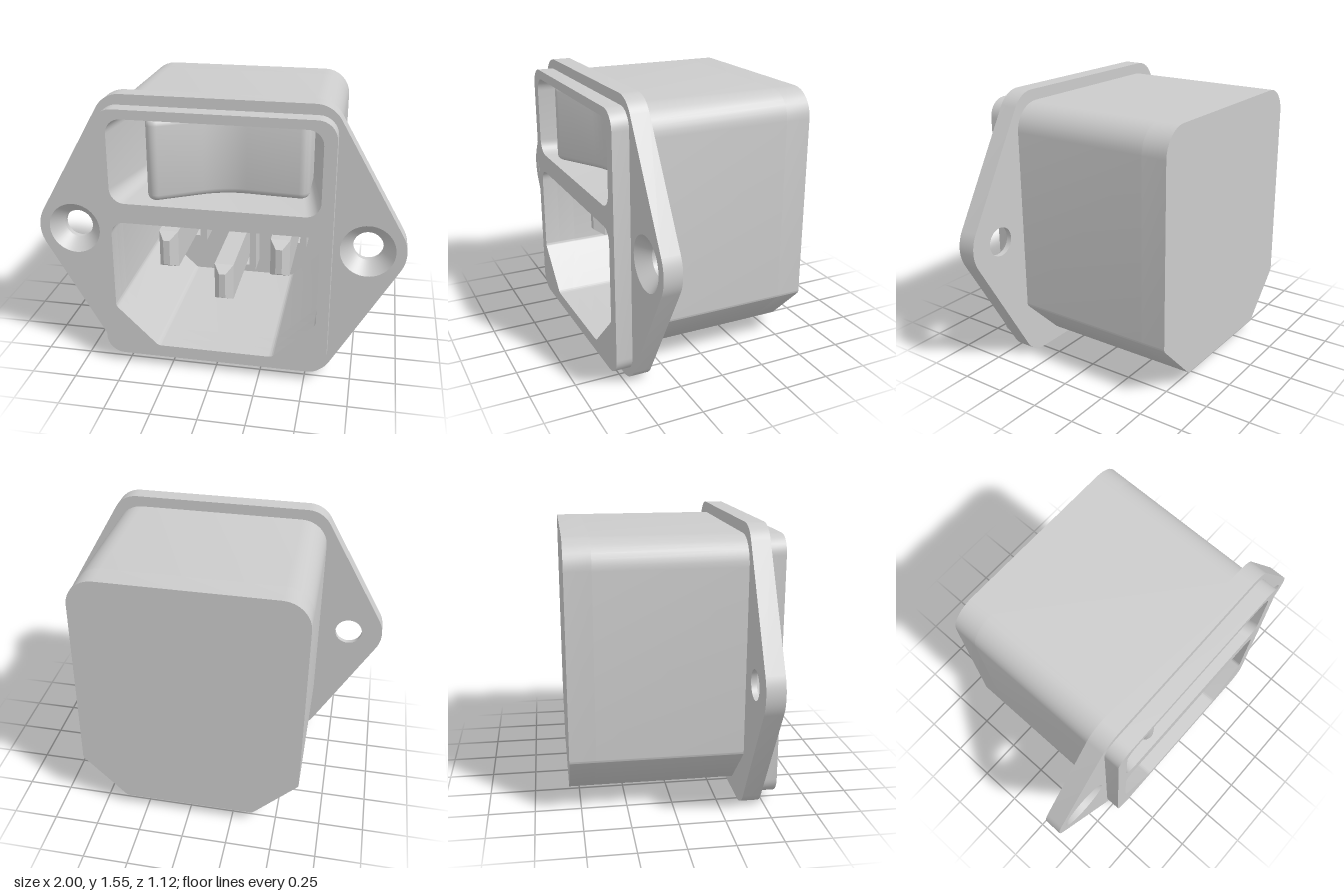
import * as THREE from 'three';
import { toCreasedNormals } from 'three/addons/utils/BufferGeometryUtils.js';

const material = new THREE.MeshStandardMaterial({ color: 0xcccccc });
const openMaterial = new THREE.MeshStandardMaterial({ color: 0xcccccc, side: THREE.DoubleSide });

// Polygon corners [x, y, radius] turned into an outline with true arc fillets
function roundPoly(corners, steps = 8) {
  const out = [];
  corners.forEach(([x, y, r], i) => {
    const p = new THREE.Vector2(x, y);
    if (!r) { out.push(p); return; }
    const n = corners.length;
    const before = corners[(i + n - 1) % n], after = corners[(i + 1) % n];
    const a = new THREE.Vector2(before[0] - x, before[1] - y).normalize();
    const b = new THREE.Vector2(after[0] - x, after[1] - y).normalize();
    const half = Math.acos(THREE.MathUtils.clamp(a.dot(b), -1, 1)) / 2;
    const center = p.clone().addScaledVector(a.clone().add(b).normalize(), r / Math.sin(half));
    const start = p.clone().addScaledVector(a, r / Math.tan(half)).sub(center);
    const end = p.clone().addScaledVector(b, r / Math.tan(half)).sub(center);
    const turn = Math.atan2(start.cross(end), start.dot(end));
    for (let k = 0; k <= steps; k++) {
      out.push(start.clone().rotateAround(new THREE.Vector2(), turn * k / steps).add(center));
    }
  });
  return out;
}

const rect = (hw, y0, y1, r) => roundPoly([[-hw, y0, r], [hw, y0, r], [hw, y1, r], [-hw, y1, r]]);

function addMesh(group, name, geometry, mat = material) {
  const mesh = new THREE.Mesh(geometry, mat);
  mesh.name = name;
  group.add(mesh);
  return mesh;
}

// Plate between two z values, with optional holes
function plate(outline, z0, z1, holes = []) {
  const shape = new THREE.Shape(outline);
  holes.forEach(h => shape.holes.push(new THREE.Path(h)));
  const g = new THREE.ExtrudeGeometry(shape, { depth: z1 - z0, bevelEnabled: false });
  g.translate(0, 0, z0);
  return toCreasedNormals(g, 0.5);
}

// Tapered wall joining two outlines with equal point counts
function loft(outerLine, z0, innerLine, z1) {
  const n = outerLine.length, pos = [], index = [];
  outerLine.forEach((p, i) => pos.push(p.x, p.y, z0, innerLine[i].x, innerLine[i].y, z1));
  for (let i = 0; i < n; i++) {
    const a = 2 * i, b = 2 * ((i + 1) % n);
    index.push(a, a + 1, b, b, a + 1, b + 1);
  }
  const g = new THREE.BufferGeometry();
  g.setAttribute('position', new THREE.Float32BufferAttribute(pos, 3));
  g.setIndex(index);
  return toCreasedNormals(g, 0.5);
}

// Contact blade: a box whose front end narrows to a blunt hipped tip
function bladeGeometry(zBack, zTip) {
  const box = new THREE.BoxGeometry(0.11, 0.22, 2, 1, 1, 2);
  const p = box.attributes.position;
  for (let i = 0; i < p.count; i++) {
    const z = p.getZ(i);
    if (z > 0.5) p.setXYZ(i, p.getX(i) * 0.33, p.getY(i) * 0.68, zTip);
    else p.setZ(i, z < -0.5 ? zBack : zTip - 0.06);
  }
  const g = box.toNonIndexed();
  g.computeVertexNormals();
  return g;
}

export function createModel() {
  const model = new THREE.Group();
  model.name = 'powerInlet';

  const switchWindow = rect(0.555, 0.98, 1.44, 0.08);
  const socketWindow = roundPoly([
    [-0.32, 0.13, 0.04], [0.32, 0.13, 0.04], [0.555, 0.36, 0.04],
    [0.555, 0.87, 0.07], [-0.555, 0.87, 0.07], [-0.555, 0.36, 0.04],
  ]);
  const windows = [switchWindow, socketWindow];
  const floorZ = -0.42;

  // Housing: hollow shell and solid back
  const bodyOutline = roundPoly([
    [-0.37, 0.07, 0.03], [0.37, 0.07, 0.03], [0.62, 0.32, 0.03],
    [0.62, 1.485, 0.15], [-0.62, 1.485, 0.15], [-0.62, 0.32, 0.03],
  ]);
  addMesh(model, 'housing', plate(bodyOutline, floorZ, 0.37, windows));
  addMesh(model, 'housingBack', plate(bodyOutline, -0.56, floorZ));

  // Mounting flange with two screw holes
  const midY = 0.773, tipX = 1.031, topX = 0.587;
  const flangeOutline = roundPoly([
    [-topX, 0, 0.15], [topX, 0, 0.15], [tipX, midY, 0.2],
    [topX, 1.546, 0.15], [-topX, 1.546, 0.15], [-tipX, midY, 0.2],
  ], 12);
  const screwHoles = [-0.8, 0.8].map(x =>
    new THREE.Path().absarc(x, midY, 0.145, 0, Math.PI * 2).getPoints(24).slice(0, -1));
  addMesh(model, 'flange', plate(flangeOutline, 0.37, 0.47, [...windows, ...screwHoles]));

  // Countersink lining each screw hole
  const sinkProfile = [[0.145, 0.47], [0.08, 0.4], [0.08, 0.37], [0.145, 0.37]]
    .map(([r, h]) => new THREE.Vector2(r, h));
  for (const x of [-0.8, 0.8]) {
    const g = new THREE.LatheGeometry(sinkProfile, 48).rotateX(Math.PI / 2);
    const sink = addMesh(model, x > 0 ? 'leftCountersink' : 'rightCountersink',
      toCreasedNormals(g, 0.5), openMaterial);
    sink.position.set(x, midY, 0);
  }

  // Raised bezel around both openings
  addMesh(model, 'bezel', plate(rect(0.62, 0.06, 1.49, 0.1), 0.47, 0.56, windows));

  // Switch well with tapered sides and a floor
  const wellBottom = rect(0.475, 0.985, 1.435, 0.06);
  addMesh(model, 'switchWell', loft(switchWindow, 0.56, wellBottom, 0.1), openMaterial);
  addMesh(model, 'switchWellFloor', plate(wellBottom, 0.06, 0.1));

  // Rocker: side profile in x and z, swept down through y with rounded edges
  const bevel = 0.035;
  const rockerShape = new THREE.Shape(roundPoly([
    [-0.48, 0.08, 0], [0.475, 0.08, 0], [0.475, 0.37, 0.05],
    [0.02, 0.34, 0.4], [-0.345, 0.55, 0.045],
  ]));
  const rocker = new THREE.ExtrudeGeometry(rockerShape, {
    depth: 0.445 - 2 * bevel, bevelEnabled: true, bevelSize: bevel,
    bevelOffset: -bevel, bevelThickness: bevel, bevelSegments: 4,
  });
  rocker.rotateX(Math.PI / 2).translate(0, 1.435 - bevel, 0);
  addMesh(model, 'rocker', toCreasedNormals(rocker, 0.6));

  // Three contact blades, each standing in a hollow collar on the socket floor
  const collar = plate(rect(0.1, -0.193, 0.193, 0), floorZ, -0.27, [rect(0.06, -0.16, 0.16, 0)]);
  const blade = bladeGeometry(floorZ, 0.33);
  for (const [name, x, y] of [['right', -0.32, 0.597], ['middle', 0, 0.415], ['left', 0.32, 0.597]]) {
    const contact = new THREE.Group();
    contact.name = name + 'Contact';
    contact.position.set(x, y, 0);
    addMesh(contact, 'collar', collar);
    addMesh(contact, 'blade', blade);
    model.add(contact);
  }
  return model;
}
